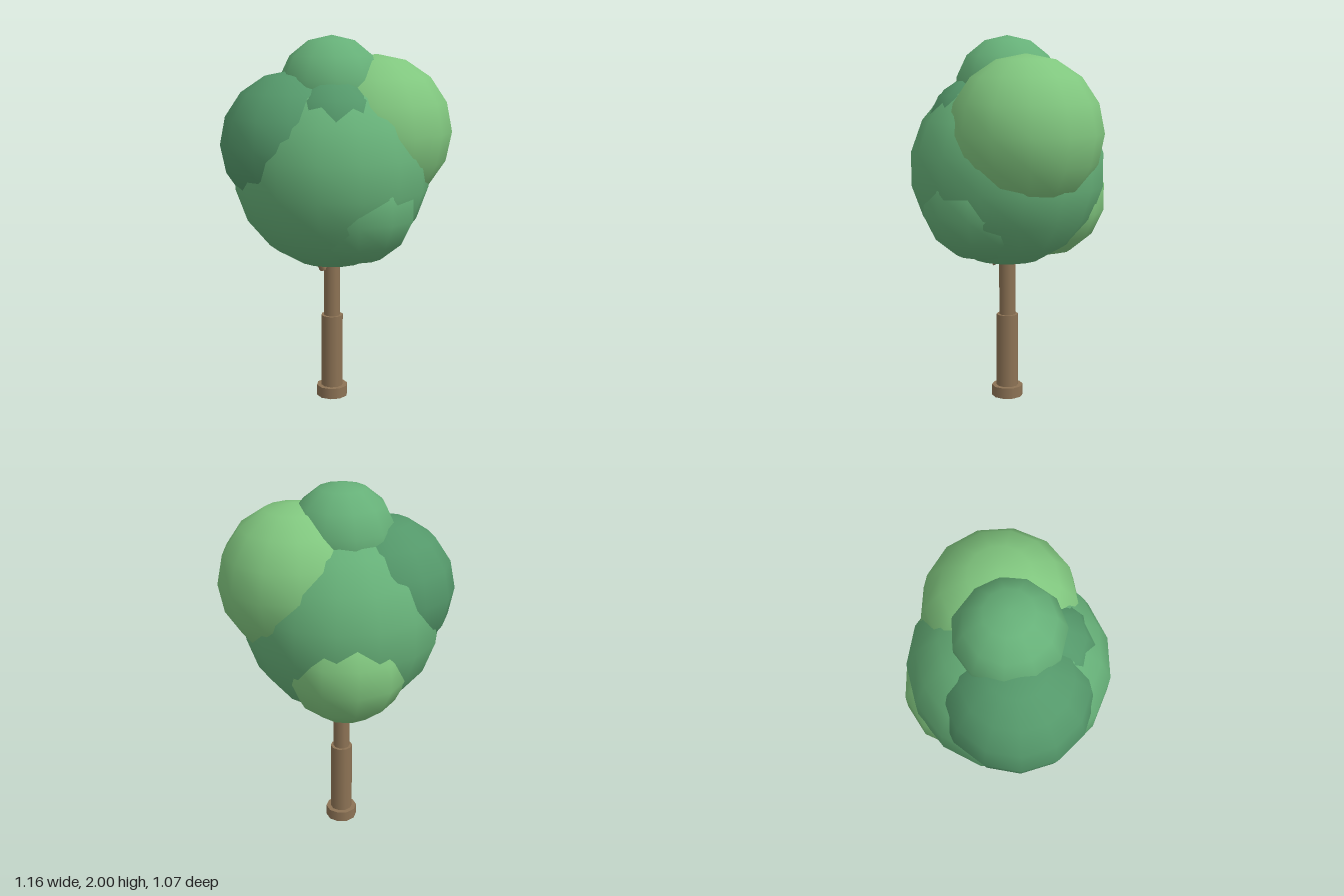
import * as THREE from 'three';

const bark = new THREE.MeshStandardMaterial({ color: 0x8d7355 });
const midGreen = new THREE.MeshStandardMaterial({ color: 0x66b078 });
const lightGreen = new THREE.MeshStandardMaterial({ color: 0x81c77f });
const darkGreen = new THREE.MeshStandardMaterial({ color: 0x54986a });

const TRUNK_X = -0.03, TRUNK_Z = -0.01;

export function createModel() {
  const tree = new THREE.Group();
  tree.name = 'tree';

  const add = (parent, name, geometry, material, x, y, z, turn = 0) => {
    const mesh = new THREE.Mesh(geometry, material);
    mesh.name = name;
    mesh.position.set(x, y, z);
    mesh.rotation.y = turn;
    parent.add(mesh);
    return mesh;
  };

  // Stepped trunk: name, radius, bottom, top
  const trunk = new THREE.Group();
  trunk.name = 'trunk';
  tree.add(trunk);
  for (const [name, r, y0, y1] of [
    ['trunkBase', 0.087, 0, 0.06],
    ['lowerTrunk', 0.061, 0.06, 0.47],
    ['upperTrunk', 0.045, 0.47, 1.0],
  ]) {
    add(trunk, name, new THREE.CylinderGeometry(r, r, y1 - y0, 10), bark,
      TRUNK_X, (y0 + y1) / 2, TRUNK_Z, Math.PI / 2);
  }

  // Short branch rising into the leaves
  const branch = add(trunk, 'branch', new THREE.CylinderGeometry(0.02, 0.02, 0.24, 8), bark,
    -0.16, 0.85, TRUNK_Z);
  branch.rotation.z = 0.5;

  // Overlapping leaf balls: name, material, radius, columns, rows, x, y, z, turn
  const crown = new THREE.Group();
  crown.name = 'crown';
  tree.add(crown);
  for (const [name, material, r, columns, rows, x, y, z, turn] of [
    ['mainFoliage', midGreen, 0.53, 15, 9, -0.03, 1.285, -0.01, 0.19],
    ['topFoliage', midGreen, 0.287, 11, 7, -0.03, 1.713, -0.01, 0.26],
    ['frontLeftFoliage', lightGreen, 0.41, 13, 8, 0.17, 1.49, 0.13, Math.PI],
    ['backRightFoliage', darkGreen, 0.39, 13, 8, -0.2, 1.43, -0.13, 0.24],
    ['lowerBackFoliage', lightGreen, 0.335, 11, 7, 0.1, 1.12, -0.2, 0.2],
    ['lowerFrontFoliage', midGreen, 0.325, 11, 7, -0.06, 1.13, 0.19, 0.2],
    ['upperFrontFoliage', darkGreen, 0.29, 11, 7, -0.13, 1.5, 0.1, 0.2],
  ]) {
    add(crown, name, new THREE.SphereGeometry(r, columns, rows), material, x, y, z, turn);
  }

  return tree;
}
